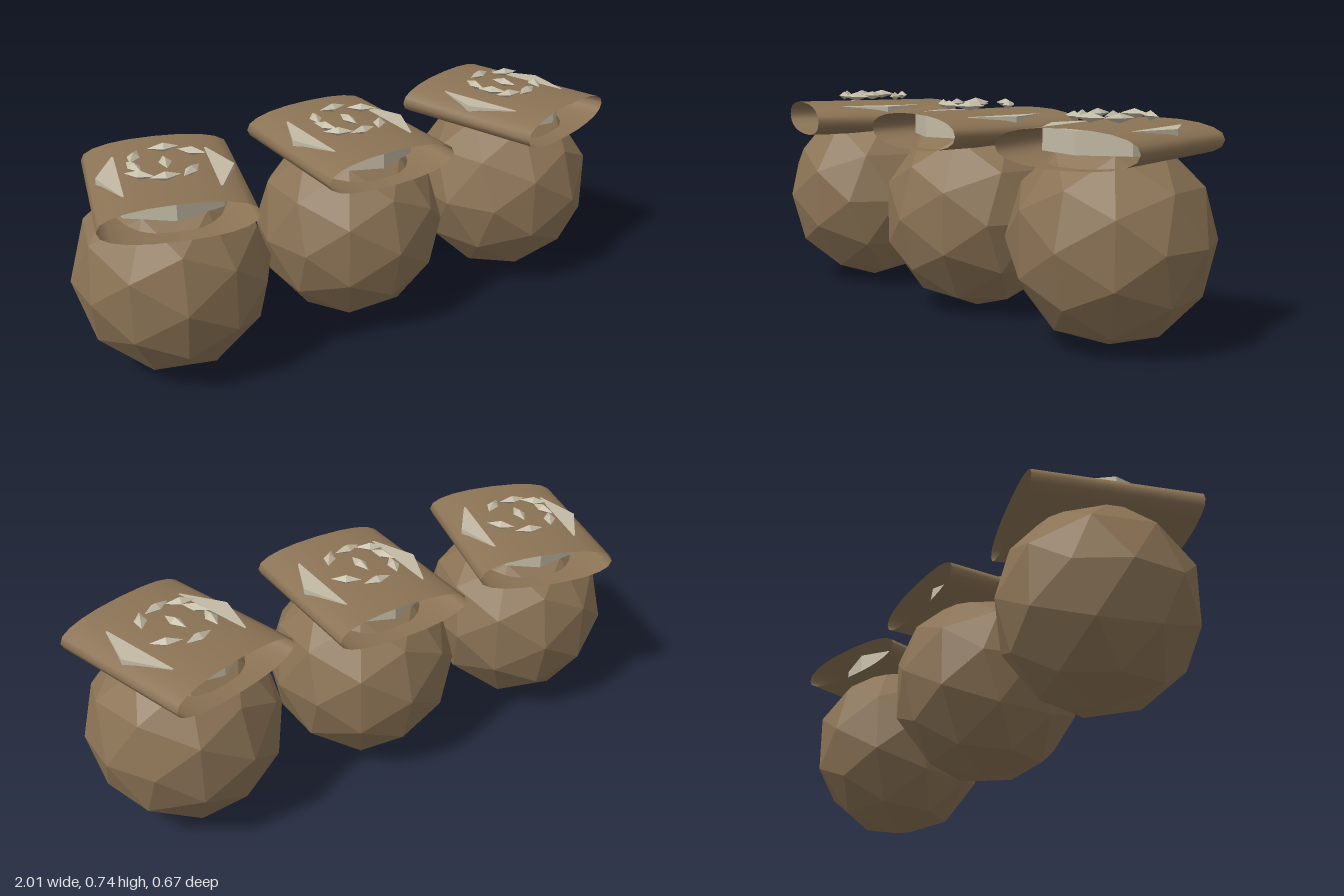
import * as THREE from 'three';

const brown = new THREE.MeshStandardMaterial({ name: 'warm brown', color: 0x8b7355, flatShading: true });
const wrapBrown = new THREE.MeshStandardMaterial({ name: 'wrap brown', color: 0x8b7355, side: THREE.DoubleSide });
const pale = new THREE.MeshStandardMaterial({ name: 'pale cream', color: 0xc2baa4, flatShading: true });

function add(group, name, geometry, material, x = 0, y = 0, z = 0) {
  const mesh = new THREE.Mesh(geometry, material);
  mesh.name = name;
  mesh.position.set(x, y, z);
  group.add(mesh);
  return mesh;
}

// Open sleeve along z with a flattened, slightly squared oval section
function sleeveGeometry(halfWidth, halfHeight, length) {
  const geometry = new THREE.CylinderGeometry(1, 1, length, 20, 1, true).rotateX(Math.PI / 2);
  const p = geometry.attributes.position;
  const round = (v) => Math.sign(v) * Math.abs(v) ** (2 / 2.3);
  for (let i = 0; i < p.count; i++) {
    p.setXY(i, halfWidth * round(p.getX(i)), halfHeight * round(p.getY(i)));
  }
  geometry.computeVertexNormals();
  return geometry;
}

// Seeds: x, z, turn about y
const seeds = [
  [0.01, -0.12, 0], [0.095, -0.065, -0.6], [-0.092, -0.065, 1.25], [0, 0, 1.57],
  [0.07, 0.085, 0.95], [-0.015, 0.11, 0.1], [-0.09, 0.08, -0.5], [-0.1, 0.015, -1.2],
];

function createBun(x, turn) {
  const bun = new THREE.Group();
  bun.name = 'bun';
  bun.position.x = x;
  bun.rotation.y = turn;

  // Faceted ball
  add(bun, 'ball', new THREE.IcosahedronGeometry(0.33, 1), brown, 0, 0.34, 0).scale.y = 1.03;

  // Eight-sided filling that breaks through the wrap on both sides
  add(bun, 'filling', new THREE.CylinderGeometry(0.22, 0.22, 0.073, 8), pale, 0, 0.6535, 0);

  // Flattened wrap, open at front and back
  add(bun, 'wrap', sleeveGeometry(0.247, 0.0615, 0.555), wrapBrown, 0, 0.638, 0);

  // Scattered seeds
  const seedGeometry = new THREE.OctahedronGeometry(1).scale(0.052, 0.016, 0.021);
  for (const [sx, sz, angle] of seeds) {
    add(bun, 'seed', seedGeometry, pale, sx, 0.721, sz).rotation.y = angle;
  }
  return bun;
}

export function createModel() {
  const model = new THREE.Group();
  model.name = 'bunTrio';
  for (const side of [-1, 0, 1]) model.add(createBun(side * 0.685, side * 0.29));
  return model;
}
